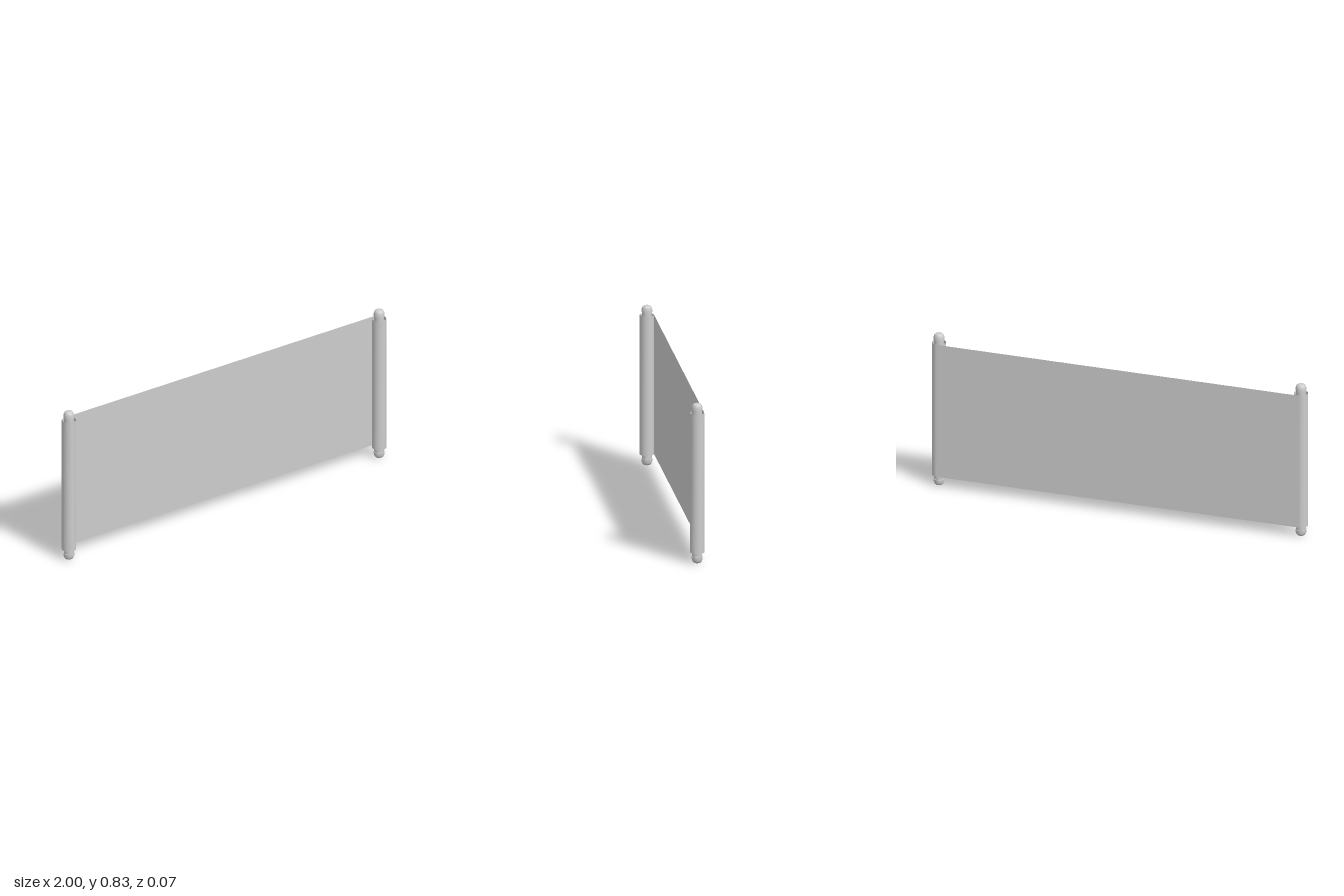
import * as THREE from 'three';

const MID_Y = 0.415;   // half of the total height
const ROLL_X = 0.964;  // axis of each roller
const ROLL_R = 0.036;  // outer radius of the rolled sheet

// Cross-section of one rolled end (x, z), from the flat sheet inwards
function rollSpiral(side) {
  const points = [];
  const steps = 60, turns = 1.75;
  for (let i = 0; i <= steps; i++) {
    const t = i / steps;
    const a = t * turns * Math.PI * 2;
    const r = ROLL_R - 0.006 * Math.max(0, t - 0.5) * 2;
    points.push([side * (ROLL_X + Math.sin(a) * r), -Math.cos(a) * r]);
  }
  return points;
}

// One continuous thin sheet: roll, flat span, roll
function sheetGeometry(bottom, top) {
  const path = [...rollSpiral(-1).reverse(), ...rollSpiral(1)];
  const positions = [], index = [];
  path.forEach(([x, z], i) => {
    positions.push(x, bottom, z, x, top, z);
    if (i > 0) {
      const a = (i - 1) * 2;
      index.push(a, a + 1, a + 2, a + 1, a + 3, a + 2);
    }
  });
  const geometry = new THREE.BufferGeometry();
  geometry.setAttribute('position', new THREE.Float32BufferAttribute(positions, 3));
  geometry.setIndex(index);
  geometry.computeVertexNormals();
  return geometry;
}

export function createModel() {
  const model = new THREE.Group();
  model.name = 'scroll';
  const grey = new THREE.MeshStandardMaterial({ color: 0xcccccc, side: THREE.DoubleSide });
  grey.name = 'light grey';

  const add = (parent, geometry, name) => {
    const mesh = new THREE.Mesh(geometry, grey);
    mesh.name = name;
    parent.add(mesh);
    return mesh;
  };

  add(model, sheetGeometry(0.055, 0.78), 'sheet');

  // Domed knob with a flat, sharp-edged base (repeated point keeps the edge)
  const knob = new THREE.LatheGeometry([
    [0, 0.382], [0.028, 0.382], [0.028, 0.382], [0.0275, 0.393], [0.0255, 0.402],
    [0.022, 0.409], [0.017, 0.413], [0.011, 0.415], [0, 0.415],
  ].map(([r, y]) => new THREE.Vector2(r, y)), 32);
  const rod = new THREE.CylinderGeometry(0.025, 0.025, 0.766, 32);

  for (const side of [-1, 1]) {
    const roller = new THREE.Group();
    roller.name = side > 0 ? 'leftRoller' : 'rightRoller';
    roller.position.set(side * ROLL_X, MID_Y, 0);
    add(roller, rod, 'rod');
    add(roller, knob, 'topKnob');
    add(roller, knob, 'bottomKnob').rotation.x = Math.PI;
    model.add(roller);
  }
  return model;
}
